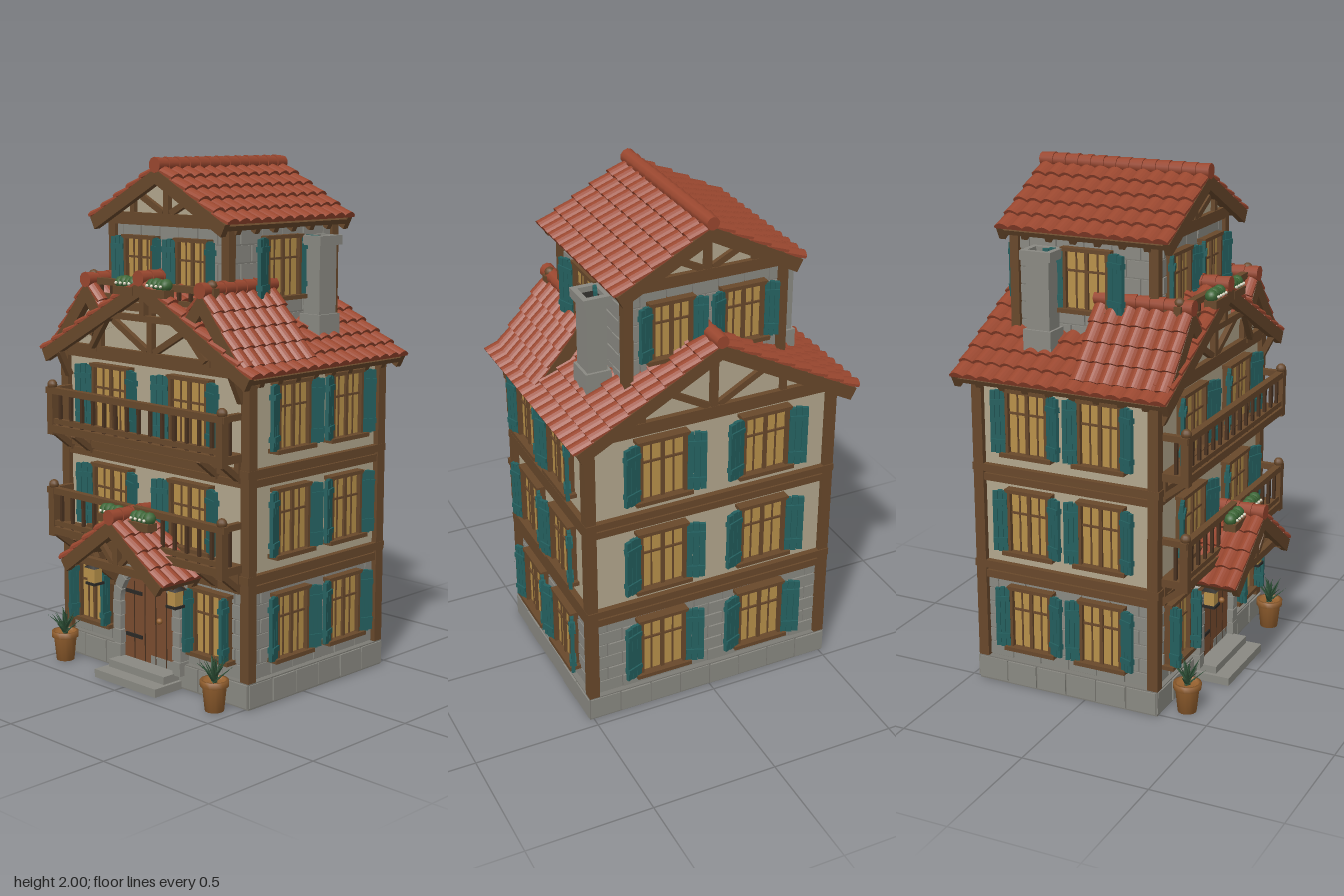
import * as THREE from 'three';
import { mergeGeometries } from 'three/addons/utils/BufferGeometryUtils.js';

const C = { stone: 0x7d7c75, block: 0x8a8982, plaster: 0xb3a78d, timber: 0x68482b, dark: 0x4a3220, roof: 0x9a472f,
  teal: 0x24605f, glass: 0xb8914a, door: 0x7a4c2f, iron: 0x2b2926, green: 0x3c6636, leaf: 0x2f5238, pot: 0x94602f, white: 0xd8d4c0 };
const mats = {};
const mat = (c) => (mats[c] ??= new THREE.MeshStandardMaterial({ color: C[c] }));
const V = (x, y, z) => new THREE.Vector3(x, y, z);

// Merge geometries into one named mesh
function part(parent, name, color, geos) {
  const mesh = new THREE.Mesh(mergeGeometries(geos.map((g) => {
    const n = g.index ? g.toNonIndexed() : g;
    n.clearGroups();
    return n;
  })), mat(color));
  mesh.name = name;
  parent.add(mesh);
  return mesh;
}
function group(parent, name, x = 0, y = 0, z = 0, ry = 0) {
  const g = new THREE.Group();
  g.name = name;
  g.position.set(x, y, z);
  g.rotation.y = ry;
  parent.add(g);
  return g;
}
const box = (w, h, d, x = 0, y = 0, z = 0) => new THREE.BoxGeometry(w, h, d).translate(x, y, z);
// Beam between two points: w sideways, h in the vertical plane
function bar(a, b, w, h = w) {
  const m = new THREE.Matrix4().lookAt(a, b, V(0, 1, 0)).setPosition(a.clone().add(b).multiplyScalar(0.5));
  return new THREE.BoxGeometry(w, h, a.distanceTo(b)).applyMatrix4(m);
}
const extrude = (pts, depth, z) => new THREE.ExtrudeGeometry(new THREE.Shape(pts.map((p) => new THREE.Vector2(...p))),
  { depth, bevelEnabled: false }).translate(0, 0, z);

// Gable roof along z: stepped rows of barrel tiles, boards, barge boards, rafter tails, ridge caps
function roof(parent, name, { halves, ridge, slope, len, x = 0, z }) {
  const g = group(parent, name, x, ridge, z), a = Math.atan(slope);
  const d = V(Math.cos(a), -Math.sin(a), 0), n = V(Math.sin(a), Math.cos(a), 0);
  const frame = (along, up, zAxis = d) => new THREE.Matrix4().makeBasis(V(0, 0, -1), n, zAxis)
    .setPosition(d.clone().multiplyScalar(along).addScaledVector(n, up));
  const cols = Math.round(len / 0.06), pts = [[-len / 2, 0]];
  for (let i = 0; i <= cols * 6; i++) pts.push([len * (i / (cols * 6) - 0.5), 0.01 + 0.014 * Math.abs(Math.sin(i * Math.PI / 6))]);
  pts.push([len / 2, 0]);
  pts.reverse();
  halves.forEach((half, s) => {
    const side = group(g, s ? 'rightSlope' : 'leftSlope', 0, 0, 0, s * Math.PI);
    const L = half / Math.cos(a), rows = Math.max(2, Math.round(L / 0.085)), step = L / rows;
    const tiles = [], wood = [new THREE.BoxGeometry(len - 0.02, 0.02, L).applyMatrix4(frame(L / 2, -0.01))];
    for (let i = 0; i < rows; i++)
      tiles.push(extrude(pts, 1, 0).applyMatrix4(frame(i * step, 0, d.clone().multiplyScalar(step * 1.1).addScaledVector(n, 0.013))));
    for (const e of [-1, 1])
      wood.push(new THREE.BoxGeometry(0.026, 0.05, L).translate(e * (len / 2 - 0.012), 0, 0).applyMatrix4(frame(L / 2, -0.018)));
    const tails = Math.round(len / 0.1);
    for (let i = 1; i < tails; i++)
      wood.push(new THREE.BoxGeometry(0.024, 0.03, 0.07).translate(len * (i / tails - 0.5), 0, 0).applyMatrix4(frame(L - 0.045, -0.03)));
    part(side, 'tiles', 'roof', tiles);
    part(side, 'boards', 'timber', wood);
  });
  const caps = [], count = Math.round(len / 0.055);
  for (let i = 0; i < count; i++)
    caps.push(new THREE.CylinderGeometry(0.03, 0.025, len / count * 1.1, 10).rotateX(Math.PI / 2).translate(0, 0.021, len * ((i + 0.5) / count - 0.5)));
  part(g, 'ridgeCaps', 'roof', caps);
}

// Window facing +z, with cross bars, sill and a pair of opened shutters
function windowUnit(parent, x, y, z, ry, w, h, sw, open = 0.35) {
  const g = group(parent, 'window', x, y, z, ry), f = 0.014;
  part(g, 'panes', 'glass', [box(w, h, 0.02)]);
  const wood = [box(f, h, 0.03, 0, 0, 0.005), box(w, 0.008, 0.026, 0, h * 0.14, 0.004), box(w + 0.05, 0.016, 0.06, 0, -h / 2 - 0.008, 0.012), box(w + 0.03, f, 0.045, 0, h / 2, 0.008)];
  for (const s of [-1, 1]) {
    wood.push(box(f, h, 0.04, s * w / 2, 0, 0.008), box(0.006, h, 0.024, s * w / 4, 0, 0.002));
    const sh = group(g, 'shutter', s * (w / 2 + 0.006), 0, 0.022, -s * open);
    const geos = [-0.36, 0, 0.36].map((k) => box(sw * 0.31, h + 0.005 - Math.abs(k) * 0.02, 0.014, s * sw * (0.5 + k * 0.93), 0, 0));
    for (const k of [-0.32, 0.32]) geos.push(box(sw * 0.95, 0.02, 0.026, s * sw / 2, k * h, 0));
    part(sh, 'planks', 'teal', geos);
  }
  part(g, 'frame', 'timber', wood);
}

// Staggered stone courses on one wall facing +z
function stones(parent, x, z, ry, w, y0, y1, rows, size) {
  const g = group(parent, 'stoneCourses', x, 0, z, ry), geos = [], h = (y1 - y0) / rows, n = Math.round(w / size);
  for (let r = 0; r < rows; r++) for (let i = 0; i <= n; i++) {
    const a = Math.max(0, i - (r % 2) / 2) * w / n, b = Math.min(n, i + 1 - (r % 2) / 2) * w / n;
    if (b - a > 0.01) geos.push(box(b - a - 0.006, h - 0.006, 0.008 + 0.003 * ((i * 5 + r * 3) % 3), (a + b) / 2 - w / 2, y0 + h * (r + 0.5), 0));
  }
  part(g, 'blocks', 'block', geos);
}
function stoneRing(parent, w, d, z, y0, y1, rows, size) {
  for (const s of [-1, 1]) {
    stones(parent, 0, z + s * d / 2, s > 0 ? 0 : Math.PI, w, y0, y1, rows, size);
    stones(parent, s * w / 2, z, s * Math.PI / 2, d, y0, y1, rows, size);
  }
}

// Timber frame on a gable
function gableFrame(parent, z, base, apex, half) {
  const k = (apex - base) / half, wood = [bar(V(-half, base, z), V(half, base, z), 0.03, 0.035), bar(V(0, base, z), V(0, apex, z), 0.028)];
  for (const s of [-1, 1]) {
    const x = half * 0.45;
    wood.push(bar(V(s * 0.02, base + 0.02, z), V(s * x, apex - k * x - 0.01, z), 0.024),
      bar(V(s * half * 0.62, base, z), V(s * half * 0.62, apex - k * half * 0.62, z), 0.024));
  }
  part(parent, 'gableFrame', 'timber', wood);
}

// Balcony: deck, turned-down brackets, posts, rails and balusters
function balcony(parent, y, half, z0, z1, railH, brackets) {
  const g = group(parent, 'balcony', 0, y, 0), wood = [box(half * 2, 0.03, z1 - z0, 0, 0.015, (z0 + z1) / 2)], knobs = [], rails = [];
  wood.push(box(half * 2 + 0.02, 0.025, 0.028, 0, railH, z1 - 0.015), box(half * 2, 0.02, 0.02, 0, 0.045, z1 - 0.015));
  for (const s of [-1, 1]) {
    const x = s * (half - 0.015);
    wood.push(box(0.032, railH + 0.02, 0.032, x, railH / 2, z1 - 0.016), box(0.024, 0.024, z1 - z0, x, railH, (z0 + z1) / 2));
    knobs.push(new THREE.SphereGeometry(0.02, 10, 8).translate(x, railH + 0.022, z1 - 0.016));
    rails.push(box(0.012, railH, 0.012, x, railH / 2, (z0 + z1) / 2));
    if (brackets) for (const bx of [0.345, half - 0.02])
      wood.push(bar(V(s * bx, -0.07, z0), V(s * bx, 0, z1 - 0.02), 0.022), box(0.022, 0.08, 0.02, s * bx, -0.04, z0 + 0.005));
  }
  const n = Math.round(half * 2 / 0.062);
  for (let i = 1; i < n; i++) rails.push(box(0.012, railH, 0.012, half * (2 * i / n - 1), railH / 2, z1 - 0.015));
  part(g, 'deckAndRails', 'timber', wood);
  part(g, 'knobs', 'timber', knobs);
  part(g, 'balusters', 'dark', rails);
}

function planter(parent, x, y, z) {
  const g = group(parent, 'planter', x, y, z), bushes = [], flowers = [];
  part(g, 'trough', 'timber', [box(0.11, 0.03, 0.05, 0, -0.02, 0)]);
  for (let i = 0; i < 4; i++) {
    bushes.push(new THREE.IcosahedronGeometry(0.025, 1).translate(-0.036 + i * 0.024, 0.008 + 0.004 * (i % 2), -0.004));
    flowers.push(new THREE.IcosahedronGeometry(0.007, 0).translate(-0.036 + i * 0.024, 0.008, 0.024));
  }
  part(g, 'bushes', 'green', bushes);
  part(g, 'flowers', 'white', flowers);
}

export function createModel() {
  const m = new THREE.Group();
  m.name = 'house';
  const Z = -0.078, H = Math.PI / 2;

  // Main body
  part(m, 'plinth', 'stone', [box(1.03, 0.1, 0.765, 0, 0.05, Z)]);
  part(m, 'groundStorey', 'stone', [box(0.98, 0.36, 0.72, 0, 0.27, Z)]);
  part(m, 'upperStoreys', 'plaster', [box(0.985, 0.8, 0.73, 0, 0.85, Z), extrude([[-0.5, 1.235], [0.5, 1.235], [0, 1.505]], 0.73, Z - 0.365)]);
  stoneRing(m, 1.03, 0.765, Z, 0.005, 0.098, 1, 0.13);
  stoneRing(m, 0.98, 0.72, Z, 0.1, 0.44, 6, 0.12);
  const frame = [[0.447, 0.03], [0.488, 0.03], [0.842, 0.028], [0.88, 0.028], [1.235, 0.03]].map(([y, h], i) => box(1.02 + (i % 2) * 0.012, h, 0.765 + (i % 2) * 0.012, 0, y, Z));
  for (const y of [0.467, 0.861]) frame.push(box(1.0, 0.03, 0.745, 0, y, Z));
  for (const x of [-0.494, 0.494]) for (const z of [-0.363, 0.363]) frame.push(box(0.042, 1.14, 0.042, x, 0.67, Z + z));
  part(m, 'timberFrame', 'timber', frame);
  gableFrame(m, 0.295, 1.255, 1.5, 0.46);
  gableFrame(m, -0.45, 1.255, 1.5, 0.46);

  // Windows of the main storeys
  [0.29, 0.685, 1.078].forEach((y, i) => {
    for (const s of [-1, 1]) {
      for (const z of [0.075, -0.225]) windowUnit(m, s * 0.5, y, z, s * H, 0.165, 0.24, 0.056);
      windowUnit(m, s * 0.21, y, -0.452, Math.PI, 0.18, 0.24, 0.072);
      if (i) windowUnit(m, s * 0.215, y, 0.294, 0, 0.19, 0.24, 0.075);
      else windowUnit(m, s * 0.325, y, 0.292, 0, 0.165, 0.24, 0.045, 1.4);
    }
  });

  // Main roof, side dormers and the truss under the front verge
  roof(m, 'mainRoof', { halves: [0.562, 0.562], ridge: 1.535, slope: 0.54, len: 0.876, z: -0.077 });
  const truss = [bar(V(-0.22, 1.405, 0.335), V(0.22, 1.405, 0.335), 0.024), bar(V(0, 1.4, 0.335), V(0, 1.52, 0.335), 0.024)];
  for (const s of [-1, 1]) {
    roof(m, 'dormerRoof', { halves: s > 0 ? [0.195, 0.1] : [0.1, 0.195], ridge: 1.51, slope: 1.25, len: 0.39, x: s * 0.31, z: 0.155 });
    const tri = [[s * 0.31, 1.49], [s * 0.2, 1.36], [s * 0.49, 1.26]];
    part(m, 'dormerWall', 'plaster', [extrude(s > 0 ? tri : tri.reverse(), 0.32, -0.03)]);
    truss.push(bar(V(s * 0.31, 1.25, 0.3), V(s * 0.31, 1.5, 0.3), 0.026), bar(V(s * 0.31, 1.32, 0.31), V(s * 0.42, 1.36, 0.31), 0.02),
      bar(V(s * 0.2, 1.4, 0.335), V(s * 0.31, 1.27, 0.32), 0.022), bar(V(s * 0.47, 1.14, 0.3), V(s * 0.47, 1.24, 0.35), 0.024));
  }
  part(m, 'verandaTruss', 'timber', truss);

  // Top storey with its roof
  const T = -0.088;
  part(m, 'topStorey', 'stone', [box(0.61, 0.5, 0.57, 0, 1.52, T)]);
  part(m, 'topGables', 'plaster', [extrude([[-0.33, 1.76], [0.33, 1.76], [0, 1.925]], 0.58, T - 0.29)]);
  stoneRing(m, 0.61, 0.57, T, 1.35, 1.75, 6, 0.11);
  const topFrame = [box(0.65, 0.03, 0.605, 0, 1.755, T)];
  for (const x of [-0.306, 0.306]) for (const z of [-0.286, 0.286]) topFrame.push(box(0.036, 0.44, 0.036, x, 1.55, T + z));
  part(m, 'topFrame', 'timber', topFrame);
  for (const s of [-1, 1]) {
    gableFrame(m, T + s * 0.295, 1.77, 1.93, 0.3);
    windowUnit(m, s * 0.142, 1.59, T + 0.292, 0, 0.15, 0.21, 0.055);
    windowUnit(m, s * 0.142, 1.59, T - 0.292, Math.PI, 0.15, 0.21, 0.055);
    windowUnit(m, s * 0.312, 1.595, -0.07, s * H, 0.175, 0.22, 0.075);
  }
  roof(m, 'topRoof', { halves: [0.36, 0.36], ridge: 1.948, slope: 0.53, len: 0.7, z: -0.075 });

  // Chimneys
  for (const s of [-1, 1]) {
    const g = group(m, 'chimney', s * 0.375, 0, -0.228);
    part(g, 'shaft', 'block', [box(0.078, 0.4, 0.095, 0, 1.48, 0), box(0.1, 0.1, 0.115, 0, 1.36, 0),
      ...[-1, 1].flatMap((k) => [box(0.022, 0.036, 0.127, k * 0.044, 1.688, 0), box(0.11, 0.036, 0.022, 0, 1.688, k * 0.0525)])]);
    part(g, 'flue', 'iron', [box(0.07, 0.01, 0.09, 0, 1.68, 0)]);
  }

  // Balconies and planters
  balcony(m, 0.515, 0.48, 0.3, 0.41, 0.175, true);
  balcony(m, 0.925, 0.48, 0.3, 0.41, 0.165, true);
  balcony(m, 1.425, 0.335, 0.2, 0.315, 0.1, false);
  for (const s of [-1, 1]) {
    planter(m, s * 0.085, 0.665, 0.43);
    planter(m, s * 0.085, 1.525, 0.34);
  }

  // Arched door with stone surround and steps
  const arch = new THREE.Shape().moveTo(-0.148, 0.05).lineTo(0.148, 0.05).lineTo(0.148, 0.285).absarc(0, 0.285, 0.148, 0, Math.PI, false).lineTo(-0.148, 0.05);
  part(m, 'door', 'door', [new THREE.ExtrudeGeometry(arch, { depth: 0.04, bevelEnabled: false, curveSegments: 20 }).translate(0, 0, 0.27)]);
  part(m, 'doorGrooves', 'dark', [-0.09, -0.03, 0.03, 0.09].map((x) => box(0.004, 0.35 - Math.abs(x) * 0.4, 0.004, x, 0.235 - Math.abs(x) * 0.2, 0.31)));
  part(m, 'doorIron', 'iron', [box(0.09, 0.014, 0.008, -0.09, 0.33, 0.312), box(0.09, 0.014, 0.008, -0.09, 0.155, 0.312)]);
  part(m, 'doorKnob', 'pot', [new THREE.SphereGeometry(0.012, 10, 8).translate(0.06, 0.245, 0.32)]);
  const surround = [];
  for (let i = 0; i < 9; i++) {
    const a = i * Math.PI / 9 + 0.015, b = (i + 1) * Math.PI / 9 - 0.015;
    const s = new THREE.Shape().absarc(0, 0.285, 0.186, a, b, false).absarc(0, 0.285, 0.146, b, a, true);
    surround.push(new THREE.ExtrudeGeometry(s, { depth: 0.065, bevelEnabled: false, curveSegments: 4 }).translate(0, 0, 0.27));
  }
  for (const s of [-1, 1]) for (let i = 0; i < 4; i++) surround.push(box(0.04 + 0.006 * (i % 2), 0.054, 0.065, s * 0.166, 0.083 + i * 0.058, 0.3025));
  part(m, 'doorSurround', 'block', surround);
  part(m, 'steps', 'block', [box(0.34, 0.032, 0.16, 0, 0.016, 0.37), box(0.31, 0.03, 0.1, 0, 0.047, 0.34)]);

  // Porch roof, frame and lanterns
  roof(m, 'porchRoof', { halves: [0.275, 0.275], ridge: 0.655, slope: 0.72, len: 0.21, z: 0.415 });
  const porch = [bar(V(-0.23, 0.475, 0.48), V(0.23, 0.475, 0.48), 0.026, 0.03), bar(V(0, 0.475, 0.48), V(0, 0.65, 0.48), 0.026)];
  for (const s of [-1, 1]) {
    porch.push(bar(V(s * 0.22, 0.465, 0.29), V(s * 0.22, 0.465, 0.51), 0.03), bar(V(s * 0.22, 0.36, 0.3), V(s * 0.22, 0.46, 0.42), 0.026),
      box(0.03, 0.13, 0.025, s * 0.22, 0.4, 0.3), bar(V(s * 0.02, 0.49, 0.48), V(s * 0.1, 0.57, 0.48), 0.02));
    const g = group(m, 'lantern', s * 0.225, 0.39, 0.395);
    part(g, 'glow', 'glass', [box(0.04, 0.06, 0.04)]);
    part(g, 'cage', 'iron', [box(0.052, 0.01, 0.052, 0, -0.034, 0), new THREE.ConeGeometry(0.042, 0.03, 4).rotateY(Math.PI / 4).translate(0, 0.044, 0), box(0.008, 0.04, 0.008, 0, 0.07, 0)]);

    // Potted plant
    const p = group(m, 'pottedPlant', s * 0.42, 0, 0.386), leaves = [];
    const prof = [[0, 0], [0.036, 0], [0.046, 0.095], [0.054, 0.095], [0.054, 0.118], [0.044, 0.118], [0.042, 0.105], [0, 0.105]];
    part(p, 'pot', 'pot', [new THREE.LatheGeometry(prof.map((q) => new THREE.Vector2(...q)), 14)]);
    for (let i = 0; i < 18; i++)
      leaves.push(new THREE.ConeGeometry(0.012, 0.075 + 0.012 * (i % 3), 4).scale(1, 1, 0.4).translate(0, 0.045, 0)
        .rotateX(0.15 + 0.35 * (i % 3)).rotateY(i * 2.4).translate(0, 0.11 + 0.018 * (i % 2), 0));
    part(p, 'leaves', 'leaf', leaves);
  }
  part(m, 'porchFrame', 'timber', porch);
  return m;
}
